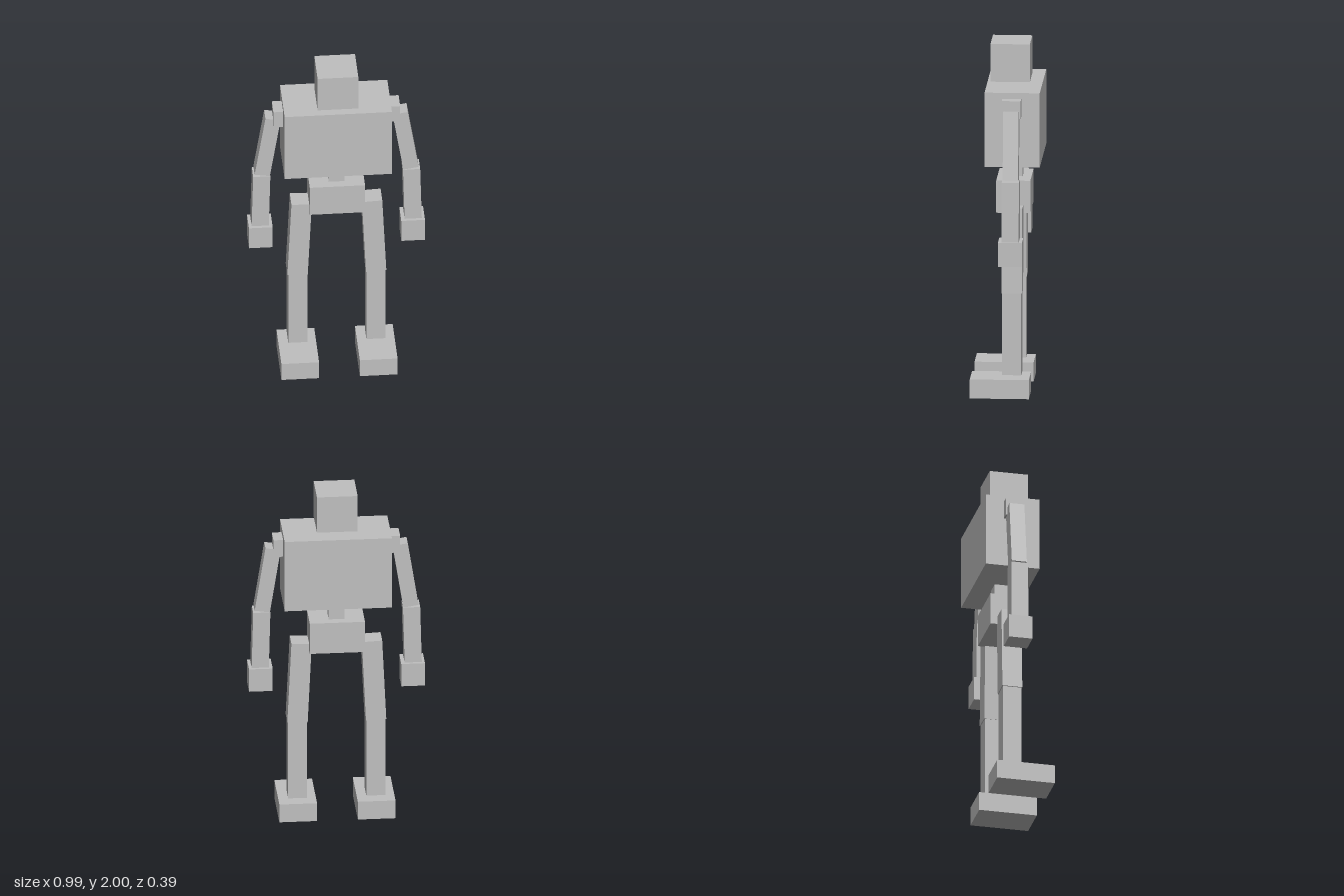
import * as THREE from 'three';

export function createModel() {
  const model = new THREE.Group();
  model.name = 'blockFigure';
  const grey = new THREE.MeshStandardMaterial({ color: 0xbfbfbf });
  grey.name = 'plain grey';

  // Box given by its lower and upper limits on each axis
  const block = (name, [x0, x1], [y0, y1], [z0, z1]) => {
    const mesh = new THREE.Mesh(new THREE.BoxGeometry(x1 - x0, y1 - y0, z1 - z0), grey);
    mesh.position.set((x0 + x1) / 2, (y0 + y1) / 2, (z0 + z1) / 2);
    mesh.name = name;
    model.add(mesh);
  };

  // Square limb running between two joints in the x-y plane
  const limb = (name, [xa, ya], [xb, yb], width, z) => {
    const length = Math.hypot(xb - xa, yb - ya);
    const mesh = new THREE.Mesh(new THREE.BoxGeometry(width, length, width), grey);
    mesh.position.set((xa + xb) / 2, (ya + yb) / 2, z);
    mesh.rotation.z = Math.atan2(xb - xa, ya - yb);
    mesh.name = name;
    model.add(mesh);
  };

  // Head, trunk and hips
  block('head', [-0.115, 0.115], [1.782, 2], [-0.13, 0.092]);
  block('chest', [-0.303, 0.303], [1.333, 1.762], [-0.197, 0.114]);
  block('spine', [-0.045, 0.045], [1.222, 1.333], [-0.085, 0.007]);
  block('pelvis', [-0.156, 0.156], [1.035, 1.222], [-0.135, 0.057]);

  // Arms and legs, mirrored
  for (const [side, s] of [['left', 1], ['right', -1]]) {
    const span = (a, b) => (s > 0 ? [a, b] : [-b, -a]);
    block(side + 'Shoulder', span(0.303, 0.358), [1.624, 1.727], [-0.093, 0.014]);
    limb(side + 'UpperArm', [s * 0.359, 1.669], [s * 0.42, 1.285], 0.087, -0.041);
    limb(side + 'Forearm', [s * 0.423, 1.28], [s * 0.432, 0.938], 0.097, -0.041);
    block(side + 'Hand', span(0.363, 0.497), [0.802, 0.94], [-0.108, 0.027]);
    limb(side + 'Thigh', [s * 0.199, 1.081], [s * 0.222, 0.596], 0.115, -0.038);
    block(side + 'Shin', span(0.167, 0.274), [0.125, 0.598], [-0.091, 0.016]);
    block(side + 'Foot', span(0.115, 0.328), [0, 0.11], [-0.137, 0.196]);
  }
  return model;
}
